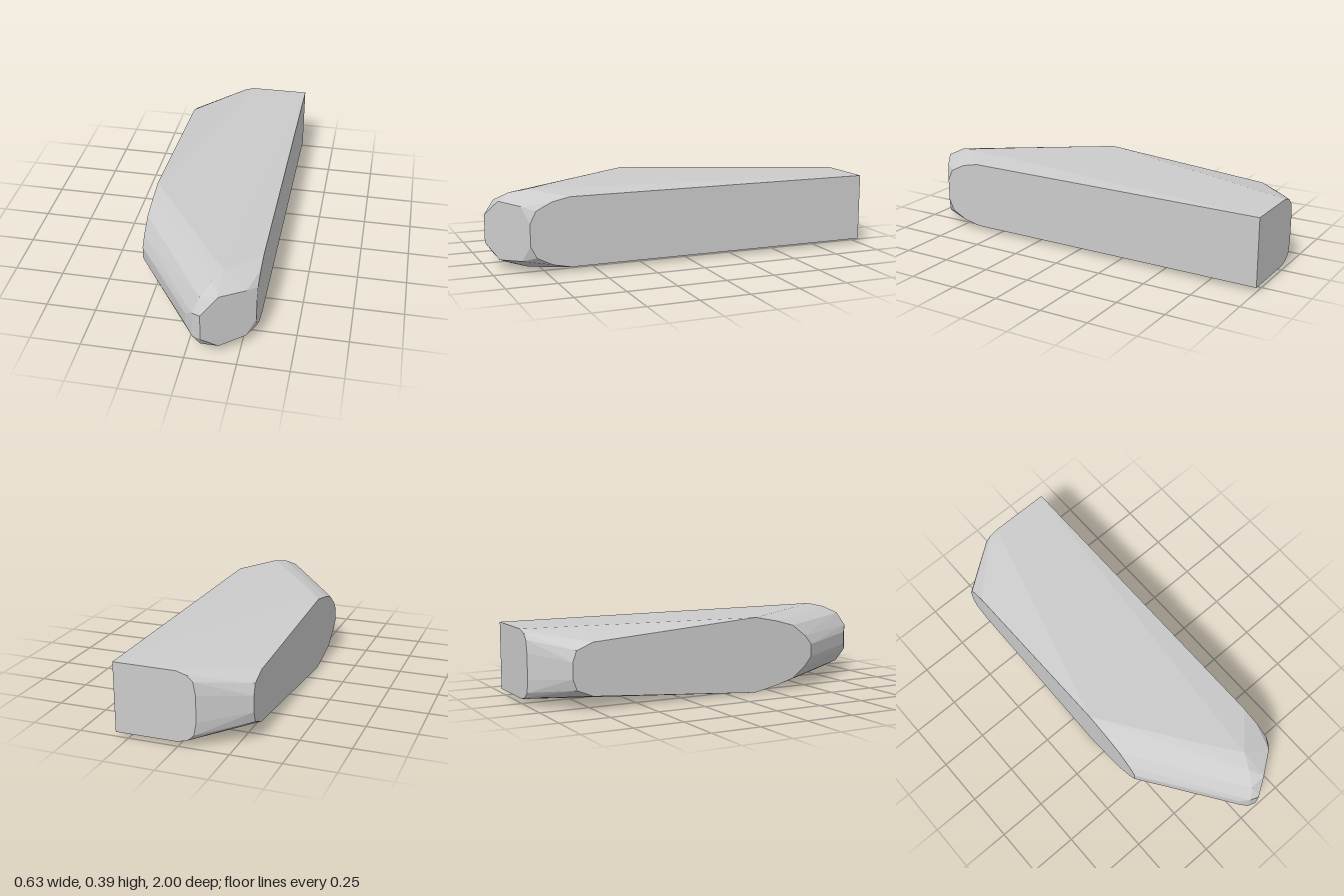
import * as THREE from 'three';
import { ConvexGeometry } from 'three/addons/geometries/ConvexGeometry.js';

const MID = 0.196; // height of the horizontal symmetry plane

export function createModel() {
  const group = new THREE.Group();
  const points = [];
  // Each outline point is mirrored above and below the middle plane.
  const add = (x, z, half) => {
    for (const s of [1, -1]) points.push(new THREE.Vector3(x, MID + s * half, z));
  };

  // Flat right side: square at the back, rounded at the front
  for (const [z, half] of [[-1, 0.174], [0.63, 0.174], [0.72, 0.155], [0.8, 0.115], [0.83, 0.055]])
    add(0.314, z, half);

  // Flat back, with its left end rounded off
  for (const [x, half] of [[0, 0.173], [-0.05, 0.158], [-0.08, 0.13], [-0.092, 0.065]])
    add(x, -1, half);

  // Left side: a narrow bevelled back end that widens towards the front
  for (const [z, half] of [[-0.75, 0.13], [-0.835, 0.095], [-0.855, 0.04]])
    add(-0.314, z, half);

  // Rounded front-left slope, swept from the left side to the nose
  for (const [z, half] of [[0.15, 0.196], [0.28, 0.17], [0.38, 0.142], [0.46, 0.082], [0.5, 0.034]]) {
    add(-0.314, z, half);
    add(0, z + 0.45, half);
  }

  // Nose and the flat front-right facet
  for (const [x, z, half] of [
    [0.04, 0.985, 0.07], [0.08, 1, 0.07], [0.07, 0.95, 0.14], [0.155, 0.945, 0.146],
    [0.27, 0.862, 0.135], [0.15, 0.8, 0.196], [0.11, 0.88, 0.178],
  ]) add(x, z, half);

  const body = new THREE.Mesh(
    new ConvexGeometry(points),
    new THREE.MeshStandardMaterial({ color: 0xcccccc, flatShading: true })
  );
  body.name = 'body';
  group.add(body);
  return group;
}
